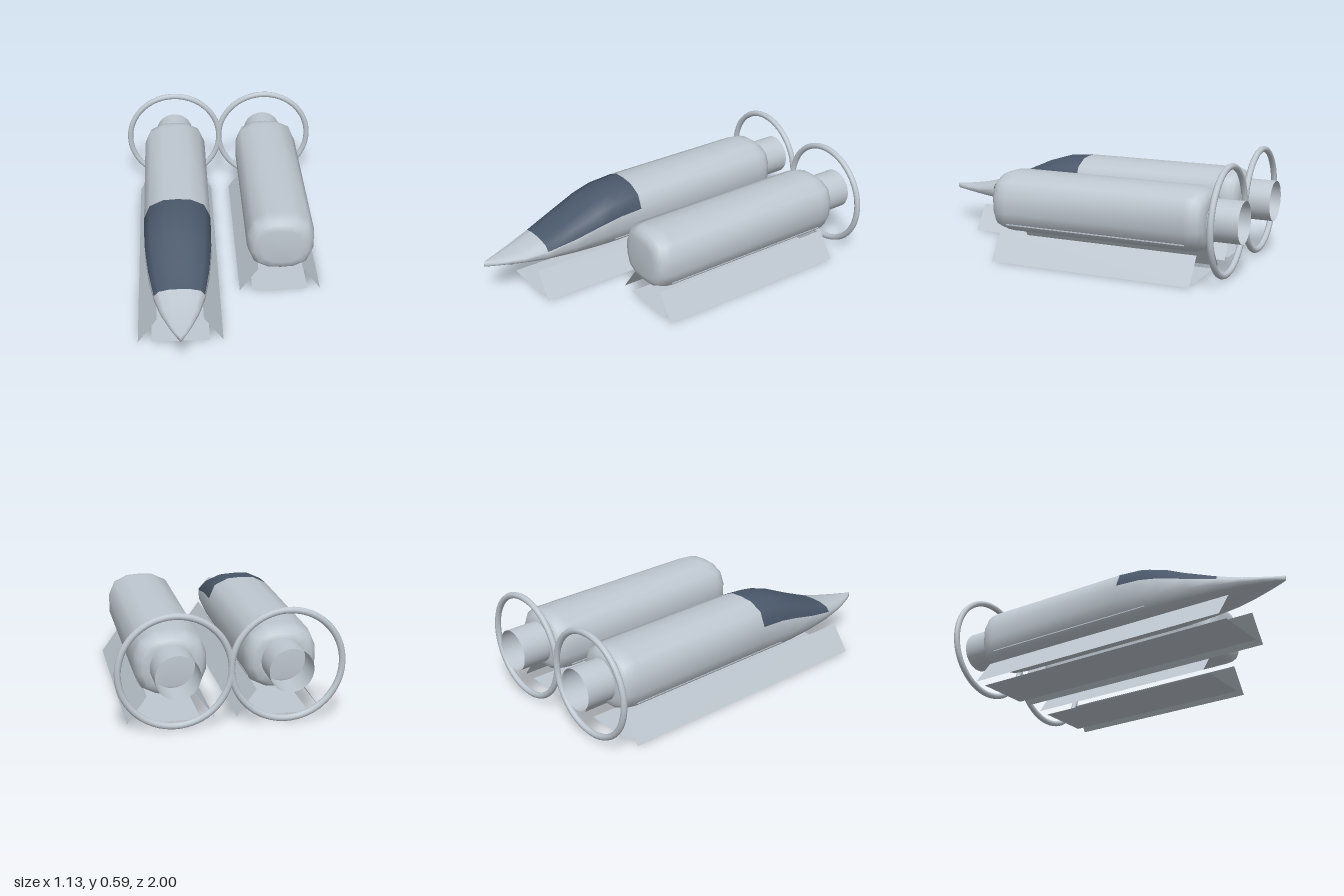
import * as THREE from 'three';

const POD_X = 0.275, MID_Y = 0.302, HALF_W = 0.18, HALF_H = 0.162;

// Rounded fourteen-sided unit section, counter-clockwise seen from the front
const quarter = [[1, 0.28], [0.82, 0.75], [0.41, 0.97]];
const upper = [...quarter, [0, 1], ...quarter.map(([x, y]) => [-x, y]).reverse()];
const SECTION = [...upper, ...upper.map(([x, y]) => [-x, -y])];

// Skin a row of sections [z, halfWidth, top, bottom] running back to front;
// the upper faces between glassFrom and glassTo take the second material.
function loft(rows, glassFrom = 9, glassTo = 9) {
  const n = SECTION.length, pos = [], hull = [], glass = [];
  for (const [z, w, top, bottom] of rows) {
    for (const [u, v] of SECTION) pos.push(u * w, (top + bottom) / 2 + v * (top - bottom) / 2, z);
  }
  for (let i = 0; i < rows.length - 1; i++) {
    const inside = rows[i][0] >= glassFrom && rows[i + 1][0] <= glassTo;
    for (let j = 0; j < n; j++) {
      const a = i * n + j, b = i * n + (j + 1) % n;
      (inside && j < 6 ? glass : hull).push(a, b, a + n, b, b + n, a + n);
    }
  }
  // End caps
  const first = rows[0], last = rows[rows.length - 1], c = rows.length * n, f = c - n;
  pos.push(0, (first[2] + first[3]) / 2, first[0], 0, (last[2] + last[3]) / 2, last[0]);
  for (let j = 0; j < n; j++) {
    const k = (j + 1) % n;
    hull.push(c, k, j, c + 1, f + j, f + k);
  }
  const g = new THREE.BufferGeometry();
  g.setAttribute('position', new THREE.Float32BufferAttribute(pos, 3));
  g.setIndex([...hull, ...glass]);
  g.addGroup(0, hull.length, 0);
  if (glass.length) g.addGroup(hull.length, glass.length, 1);
  g.computeVertexNormals();
  return g;
}

// Rounded end: dir = 1 closes towards the front, -1 towards the back
function roundedEnd(zEnd, dir) {
  const steps = [[0.1, 1], [0.06, 0.975], [0.03, 0.91], [0.01, 0.8], [0, 0.6]];
  const rows = steps.map(([d, s]) => [zEnd - dir * d, HALF_W * s, MID_Y + HALF_H * s, MID_Y - HALF_H * s]);
  return dir > 0 ? rows : rows.reverse();
}

// Flat panel running along z between two points of the cross-section
function panel(x0, y0, x1, y1, zBack, zFront) {
  const g = new THREE.BufferGeometry();
  g.setAttribute('position', new THREE.Float32BufferAttribute(
    [x0, y0, zFront, x1, y1, zFront, x1, y1, zBack, x0, y0, zBack], 3));
  g.setIndex([0, 1, 2, 0, 2, 3]);
  g.computeVertexNormals();
  return g;
}

export function createModel() {
  const hullMat = new THREE.MeshStandardMaterial({ color: 0xbec7d0, side: THREE.DoubleSide });
  hullMat.name = 'pale grey hull';
  const glassMat = new THREE.MeshStandardMaterial({ color: 0x4a586a, side: THREE.DoubleSide });
  glassMat.name = 'dark blue canopy';

  const model = new THREE.Group();
  model.name = 'twinPodCraft';

  const add = (parent, name, geometry, material = hullMat) => {
    const mesh = new THREE.Mesh(geometry, material);
    mesh.name = name;
    parent.add(mesh);
    return mesh;
  };

  // Tapering nose with the canopy over its upper half
  const nose = [
    [0.11, 0.18, 0.464, 0.14], [0.25, 0.179, 0.452, 0.14], [0.36, 0.175, 0.417, 0.145],
    [0.52, 0.158, 0.345, 0.157], [0.68, 0.13, 0.28, 0.17], [0.8, 0.095, 0.247, 0.182],
    [0.9, 0.055, 0.232, 0.19], [0.96, 0.028, 0.226, 0.194], [1, 0.002, 0.224, 0.196],
  ];
  const tail = roundedEnd(-0.84, -1);

  const pods = [
    { name: 'cockpitPod', x: -POD_X, body: loft([...tail, ...nose], 0.11, 0.68), finFront: 0.745 },
    { name: 'cargoPod', x: POD_X, body: loft([...tail, ...roundedEnd(0.363, 1)]), finFront: 0.325 },
  ];

  for (const { name, x, body, finFront } of pods) {
    const pod = new THREE.Group();
    pod.name = name;
    pod.position.x = x;
    model.add(pod);
    add(pod, 'hull', body, [hullMat, glassMat]);

    // Open exhaust pipe
    const pipe = add(pod, 'exhaustPipe', new THREE.CylinderGeometry(0.11, 0.11, 0.17, 32, 1, true));
    pipe.rotation.x = Math.PI / 2;
    pipe.position.set(0, MID_Y, -0.915);

    // Ring around the exhaust
    const ring = add(pod, 'tailRing', new THREE.TorusGeometry(0.2755, 0.0165, 10, 64));
    ring.position.set(0, MID_Y, -0.915);

    // Splayed skids, flat belly panel and narrow side seams
    for (const s of [-1, 1]) {
      add(pod, 'skid', panel(s * 0.12, 0.14, s * 0.22, 0, -0.795, finFront));
      const seam = add(pod, 'sideSeam', new THREE.BoxGeometry(0.008, 0.006, 1.01));
      seam.position.set(s * 0.153, 0.194, -0.235);
    }
    add(pod, 'bellyPanel', panel(-0.15, 0.001, 0.15, 0.001, -0.795, finFront));
  }
  return model;
}
